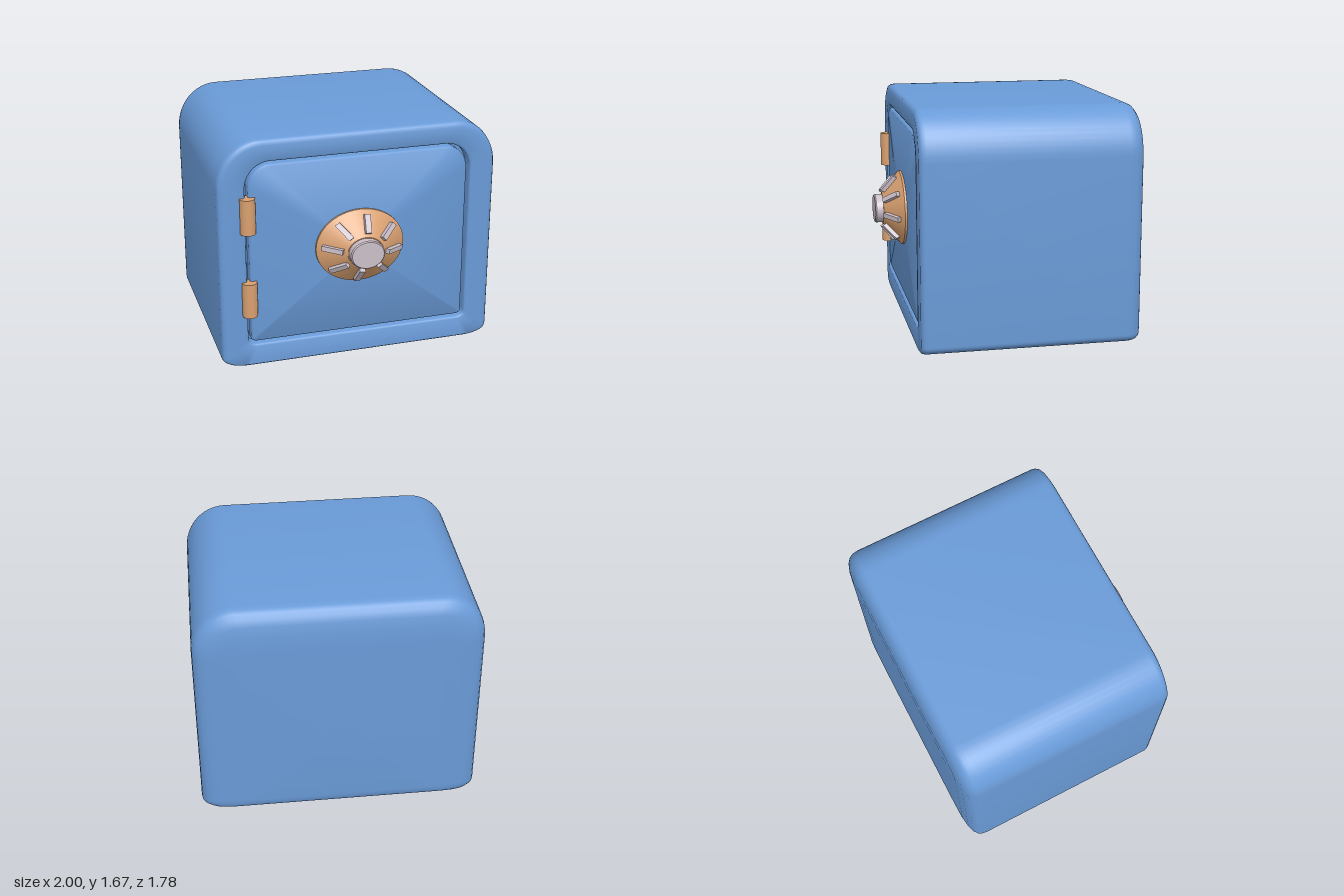
import * as THREE from 'three';
import { toCreasedNormals } from 'three/addons/utils/BufferGeometryUtils.js';

const blue = new THREE.MeshStandardMaterial({ color: 0x6a9bd8 });
const bronze = new THREE.MeshStandardMaterial({ color: 0xd9a070 });
const silver = new THREE.MeshStandardMaterial({ color: 0xcbbfc8 });

const STEPS = 12;

// Rounded outline, counter-clockwise from the front, with elliptical corners
function outline(halfWidth, bottom, top, [topX, topY], [botX, botY], z) {
  const corners = [
    [1, 1, topX, topY, 1], [-1, 1, topX, topY, 1],
    [-1, -1, botX, botY, 0.85], [1, -1, botX, botY, 0.85],
  ];
  const points = [];
  corners.forEach(([sx, sy, rx, ry, power], q) => {
    for (let i = 0; i <= STEPS; i++) {
      const a = (q + i / STEPS) * Math.PI / 2;
      const c = Math.abs(Math.cos(a)) ** power, s = Math.abs(Math.sin(a)) ** power;
      const y = sy > 0 ? top - ry + ry * s : bottom + ry - ry * s;
      points.push(new THREE.Vector3(sx * (halfWidth - rx + rx * c), y, z));
    }
  });
  return points;
}

// Skin a list of rings from back to front and cap both ends
function loft(rings) {
  const n = rings[0].length, positions = [], index = [];
  rings.forEach(ring => ring.forEach(p => positions.push(p.x, p.y, p.z)));
  for (let r = 0; r < rings.length - 1; r++) {
    for (let j = 0; j < n; j++) {
      const a = r * n + j, b = r * n + (j + 1) % n;
      index.push(a, b, b + n, a, b + n, a + n);
    }
  }
  [0, rings.length - 1].forEach(r => {
    const centre = rings[r].reduce((sum, p) => sum.add(p), new THREE.Vector3()).divideScalar(n);
    const c = positions.length / 3;
    positions.push(centre.x, centre.y, centre.z);
    for (let j = 0; j < n; j++) {
      const a = r * n + j, b = r * n + (j + 1) % n;
      if (r === 0) index.push(c, b, a); else index.push(c, a, b);
    }
  });
  const geometry = new THREE.BufferGeometry();
  geometry.setAttribute('position', new THREE.Float32BufferAttribute(positions, 3));
  geometry.setIndex(index);
  return toCreasedNormals(geometry, 0.75);
}

function shell(inset, z) {
  return outline(1 - inset, inset * 0.3, 1.675 - inset,
    [Math.max(0.1, 0.3 - inset * 0.7), Math.max(0.1, 0.33 - inset * 0.7)],
    [0.2 - inset * 0.3, 0.08 - inset * 0.1], z);
}

function doorway(inset, z) {
  return outline(0.81 - inset, 0.165 + inset, 1.52 - inset,
    [0.18 - inset, 0.19 - inset], [0.07 - inset, 0.05 - inset], z);
}

function add(parent, name, geometry, material) {
  const mesh = new THREE.Mesh(geometry, material);
  mesh.name = name;
  parent.add(mesh);
  return mesh;
}

export function createModel() {
  const model = new THREE.Group();
  model.name = 'safe';

  // Rounded cabinet whose front turns inward into the doorway
  const shellProfile = [
    [0.3, -0.89], [0.18, -0.886], [0.1, -0.874], [0.05, -0.856], [0.02, -0.83], [0.005, -0.8],
    [0, -0.76], [0, 0.64], [0.004, 0.664], [0.014, 0.681], [0.04, 0.69],
  ];
  const doorwayProfile = [[-0.014, 0.69], [-0.004, 0.685], [0, 0.675], [0, 0.6]];
  add(model, 'cabinet', loft([
    ...shellProfile.map(([inset, z]) => shell(inset, z)),
    ...doorwayProfile.map(([inset, z]) => doorway(inset, z)),
  ]), blue);

  // Door with a softened front edge and a narrow gap around it
  const doorProfile = [[0.022, 0.598], [0.022, 0.668], [0.026, 0.679], [0.036, 0.685]];
  add(model, 'door', loft(doorProfile.map(([inset, z]) => doorway(inset, z))), blue);

  // Hinge barrels
  [0.528, 1.148].forEach(y => {
    add(model, 'hinge', new THREE.CylinderGeometry(0.054, 0.054, 0.255, 24), bronze)
      .position.set(-0.795, y, 0.691);
  });

  // Combination dial, slightly wider than tall
  const dial = new THREE.Group();
  dial.name = 'dial';
  dial.position.set(0, 0.842, 0.68);
  dial.scale.y = 0.84;
  model.add(dial);

  const lathe = points => toCreasedNormals(
    new THREE.LatheGeometry(points.map(p => new THREE.Vector2(...p)), 48).rotateX(Math.PI / 2), 0.5);
  add(dial, 'dialCone', lathe([[0, 0], [0.32, 0], [0.32, 0.02], [0.13, 0.152], [0, 0.152]]), bronze);
  add(dial, 'dialKnob', lathe([[0, 0.14], [0.123, 0.14], [0.123, 0.202], [0.115, 0.21], [0, 0.21]]), silver);

  // Marker bars lying on the slope of the cone
  const slope = Math.atan2(0.132, 0.19);
  for (let i = 0; i < 8; i++) {
    const spoke = new THREE.Group();
    spoke.name = 'marker';
    spoke.rotation.z = THREE.MathUtils.degToRad(83 + i * 45);
    dial.add(spoke);
    const bar = add(spoke, 'markerBar', new THREE.BoxGeometry(0.155, 0.042, 0.06), silver);
    bar.position.set(0.218, 0, 0.092);
    bar.rotation.y = slope;
  }
  return model;
}
